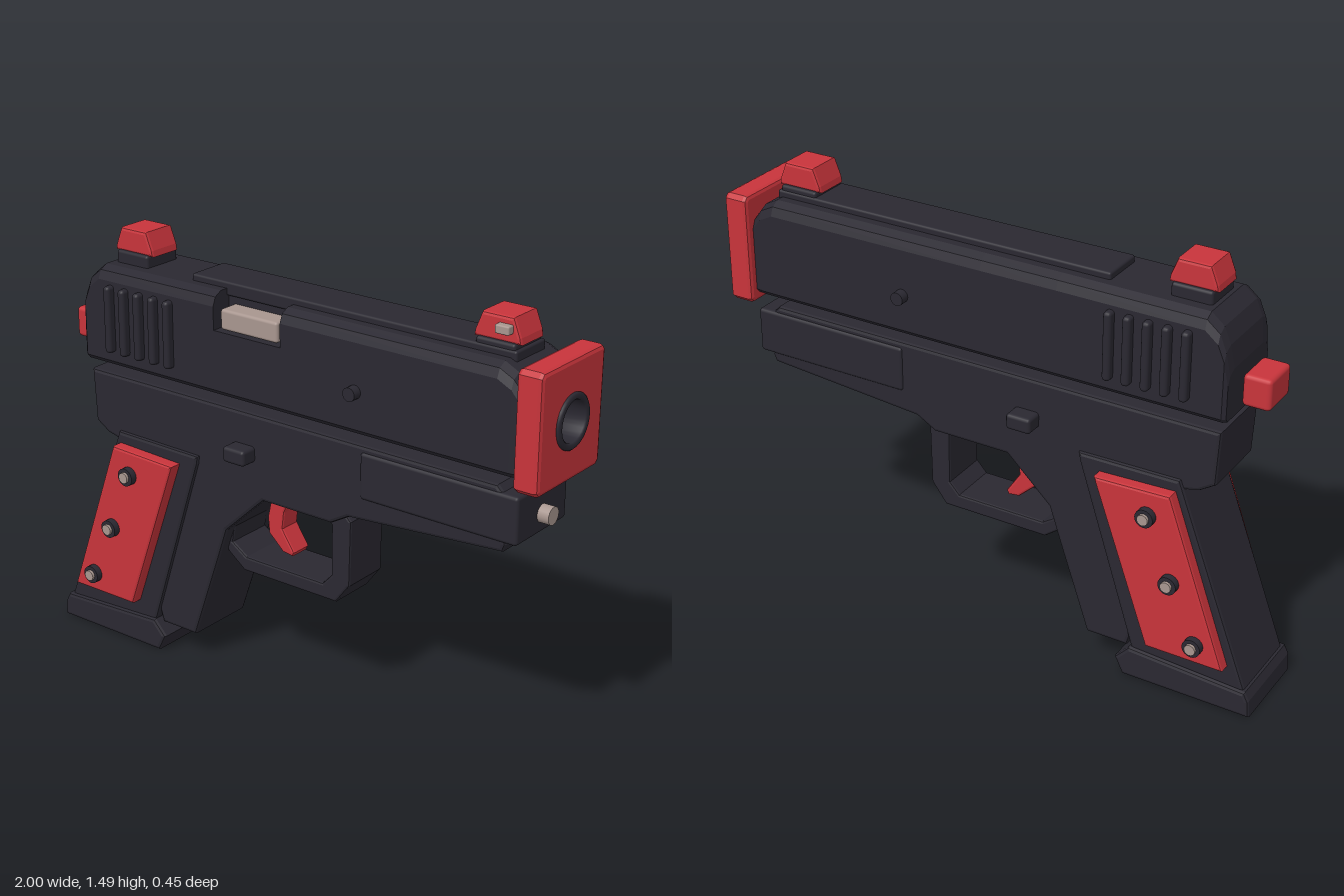
import * as THREE from 'three';
import { RoundedBoxGeometry } from 'three/addons/geometries/RoundedBoxGeometry.js';

const dark = new THREE.MeshStandardMaterial({ color: 0x2a2831 });
const red = new THREE.MeshStandardMaterial({ color: 0xc8343b });
const tan = new THREE.MeshStandardMaterial({ color: 0xa8968f });

export function createModel() {
  const model = new THREE.Group();

  const add = (name, geometry, material) => {
    const mesh = new THREE.Mesh(geometry, material);
    mesh.name = name;
    model.add(mesh);
    return mesh;
  };

  // Softened box given by its extents
  const box = (name, [x0, x1], [y0, y1], [z0, z1], material, r = 0.01) =>
    add(name, new RoundedBoxGeometry(x1 - x0, y1 - y0, z1 - z0, 2, r), material)
      .position.set((x0 + x1) / 2, (y0 + y1) / 2, (z0 + z1) / 2);

  // Bevelled side profile, extruded from z0 to z1
  const toShape = pts => new THREE.Shape(pts.map(p => new THREE.Vector2(...p)));
  const slabGeometry = (shape, z0, z1, b) => new THREE.ExtrudeGeometry(shape, {
    depth: z1 - z0 - 2 * b, bevelThickness: b, bevelSize: b, bevelOffset: -b,
    bevelSegments: 2, curveSegments: 24,
  }).translate(0, 0, z0 + b);
  const slab = (name, pts, half, material, b = 0.012) =>
    add(name, slabGeometry(toShape(pts), -half, half, b), material);

  // Cylinder along z or x
  const pin = (name, r, length, [x, y, z], material, axis = 'z') => {
    const g = new THREE.CylinderGeometry(r, r, length, 20);
    if (axis === 'z') g.rotateX(Math.PI / 2); else g.rotateZ(Math.PI / 2);
    add(name, g, material).position.set(x, y, z);
  };

  // Slide: cross-sections lofted along x, with the port notched on the +z side
  const section = (x, top, w, notch) => {
    const right = [[-w + 0.012, 1.03], [-w, 1.045], [-w, top - 0.045], [-w + 0.012, top - 0.015], [-w + 0.04, top]];
    const left = right.map(([z, y]) => [-z, y]).reverse();
    const port = notch ? [[0.07, top], [0.07, 1.25], [w, 1.25], [w, 1.25], [w, 1.25]] : [[0.07, top], [0.07, top], ...left.slice(0, 3)];
    return [...right, ...port, ...left.slice(3)].map(([z, y]) => [x, y, z]);
  };
  const sections = [
    section(-0.85, 1.2, 0.14), section(-0.838, 1.28, 0.15), section(-0.815, 1.335, 0.15),
    section(-0.77, 1.372, 0.15), section(-0.265, 1.375, 0.15), section(-0.265, 1.375, 0.15, true),
    section(0.01, 1.375, 0.15, true), section(0.01, 1.375, 0.15), section(0.82, 1.375, 0.15),
    section(0.87, 1.35, 0.15), section(0.91, 1.3, 0.145),
  ];
  const n = sections[0].length;
  const last = sections.length - 1;
  const tris = [];
  for (let s = 0; s < last; s++) {
    for (let i = 0; i < n; i++) {
      const j = (i + 1) % n;
      const a = sections[s][i], b = sections[s][j], c = sections[s + 1][j], d = sections[s + 1][i];
      tris.push(a, b, c, a, c, d);
    }
  }
  for (let i = 1; i < n - 1; i++) {
    tris.push(sections[0][0], sections[0][i + 1], sections[0][i]);
    tris.push(sections[last][0], sections[last][i], sections[last][i + 1]);
  }
  const slide = new THREE.BufferGeometry();
  slide.setAttribute('position', new THREE.Float32BufferAttribute(tris.flat(), 3));
  slide.computeVertexNormals();
  add('slide', slide, dark);
  box('slideTopRib', [-0.415, 0.84], [1.35, 1.397], [-0.08, 0.08], dark, 0.008);
  box('chamberBlock', [-0.245, -0.01], [1.255, 1.325], [0.05, 0.14], tan);

  // Raised grip ribs on the slide
  for (let i = 0; i < 5; i++) {
    const x = -0.717 + i * 0.0655;
    box('slideRib', [x - 0.014, x + 0.014], [1.08, 1.315], [-0.178, 0.178], dark, 0.012);
  }
  pin('slidePin', 0.023, 0.365, [0.305, 1.17, 0], dark);

  // Muzzle plate with a bored barrel
  const plate = toShape([[-0.178, 1.015], [-0.163, 1.0], [0.163, 1.0], [0.178, 1.015],
    [0.178, 1.372], [0.163, 1.387], [-0.163, 1.387], [-0.178, 1.372]]);
  plate.holes.push(new THREE.Path().absarc(0, 1.193, 0.075, 0, Math.PI * 2, true));
  add('muzzlePlate', slabGeometry(plate, 0.902, 0.99, 0.014).rotateY(Math.PI / 2), red);
  const bore = [[0.09, 0.9], [0.09, 0.995], [0.085, 1], [0.072, 1], [0.067, 0.995], [0.067, 0.915], [0, 0.915]];
  add('barrel', new THREE.LatheGeometry(bore.map(p => new THREE.Vector2(...p)), 32)
    .rotateZ(-Math.PI / 2).translate(0, 1.193, 0), dark);

  // Sights: dark foot and tapered red block
  for (const [name, x] of [['rearSight', -0.685], ['frontSight', 0.76]]) {
    box(name + 'Base', [x - 0.07, x + 0.07], [1.36, 1.415], [-0.075, 0.075], dark);
    slab(name, [[x - 0.083, 1.41], [x + 0.083, 1.41], [x + 0.08, 1.432], [x + 0.056, 1.492],
      [x - 0.056, 1.492], [x - 0.08, 1.432]], 0.065, red, 0.01);
  }
  box('sightStud', [0.765, 0.815], [1.442, 1.47], [0.05, 0.09], tan, 0.005);
  box('rearKnob', [-0.96, -0.865], [1.065, 1.172], [-0.072, 0.072], red, 0.014);

  // Frame with the front strap of the grip
  slab('frame', [[-0.835, 0.99], [0.825, 0.99], [0.845, 0.97], [0.86, 0.8], [0.85, 0.775],
    [0.27, 0.73], [0.2, 0.69], [-0.08, 0.69], [-0.24, 0.54], [-0.28, 0.42], [-0.39, 0.1],
    [-0.54, 0.1], [-0.6, 0.3], [-0.7, 0.75], [-0.77, 0.765], [-0.825, 0.8]], 0.135, dark);
  box('frontRail', [0.32, 0.905], [0.81, 0.97], [-0.142, 0.142], dark, 0.012);
  pin('frontPin', 0.03, 0.08, [0.905, 0.875, 0], tan, 'x');
  box('sidePeg', [-0.2, -0.11], [0.822, 0.877], [-0.195, 0.195], dark, 0.012);

  // Grip and its foot
  slab('grip', [[-0.71, 0.79], [-0.35, 0.785], [-0.355, 0.755], [-0.565, 0.1], [-0.975, 0.08]], 0.147, dark);
  slab('gripFoot', [[-1, 0], [-0.54, 0], [-0.51, 0.06], [-0.56, 0.113], [-0.98, 0.09], [-0.995, 0.06]], 0.162, dark);

  // Grip panels and screws on both sides
  const panel = toShape([[-0.7, 0.75], [-0.43, 0.74], [-0.635, 0.165], [-0.91, 0.165]]);
  for (const side of [1, -1]) {
    const zs = [0.13 * side, 0.19 * side].sort((a, b) => a - b);
    add('gripPanel', slabGeometry(panel, ...zs, 0.01), red);
    for (const [x, y] of [[-0.625, 0.66], [-0.715, 0.44], [-0.81, 0.235]]) {
      pin('screwCollar', 0.032, 0.06, [x, y, 0.184 * side], dark);
      pin('screw', 0.019, 0.06, [x, y, 0.194 * side], tan);
    }
  }

  // Trigger guard loop and trigger
  const guard = toShape([[-0.1, 0.72], [0.22, 0.72], [0.25, 0.69], [0.245, 0.46], [0.19, 0.387],
    [-0.2, 0.387], [-0.27, 0.44], [-0.3, 0.5], [-0.26, 0.56]]);
  guard.holes.push(new THREE.Path([[-0.08, 0.69], [-0.24, 0.54], [-0.25, 0.48], [-0.19, 0.44],
    [0.135, 0.44], [0.172, 0.48], [0.172, 0.66], [0.14, 0.69]].map(p => new THREE.Vector2(...p))));
  add('triggerGuard', slabGeometry(guard, -0.09, 0.09, 0.008), dark);
  slab('trigger', [[-0.11, 0.7], [-0.03, 0.7], [-0.065, 0.62], [-0.072, 0.56], [-0.022, 0.485],
    [-0.03, 0.47], [-0.07, 0.475], [-0.13, 0.53], [-0.135, 0.59]], 0.042, red, 0.008);

  return model;
}
